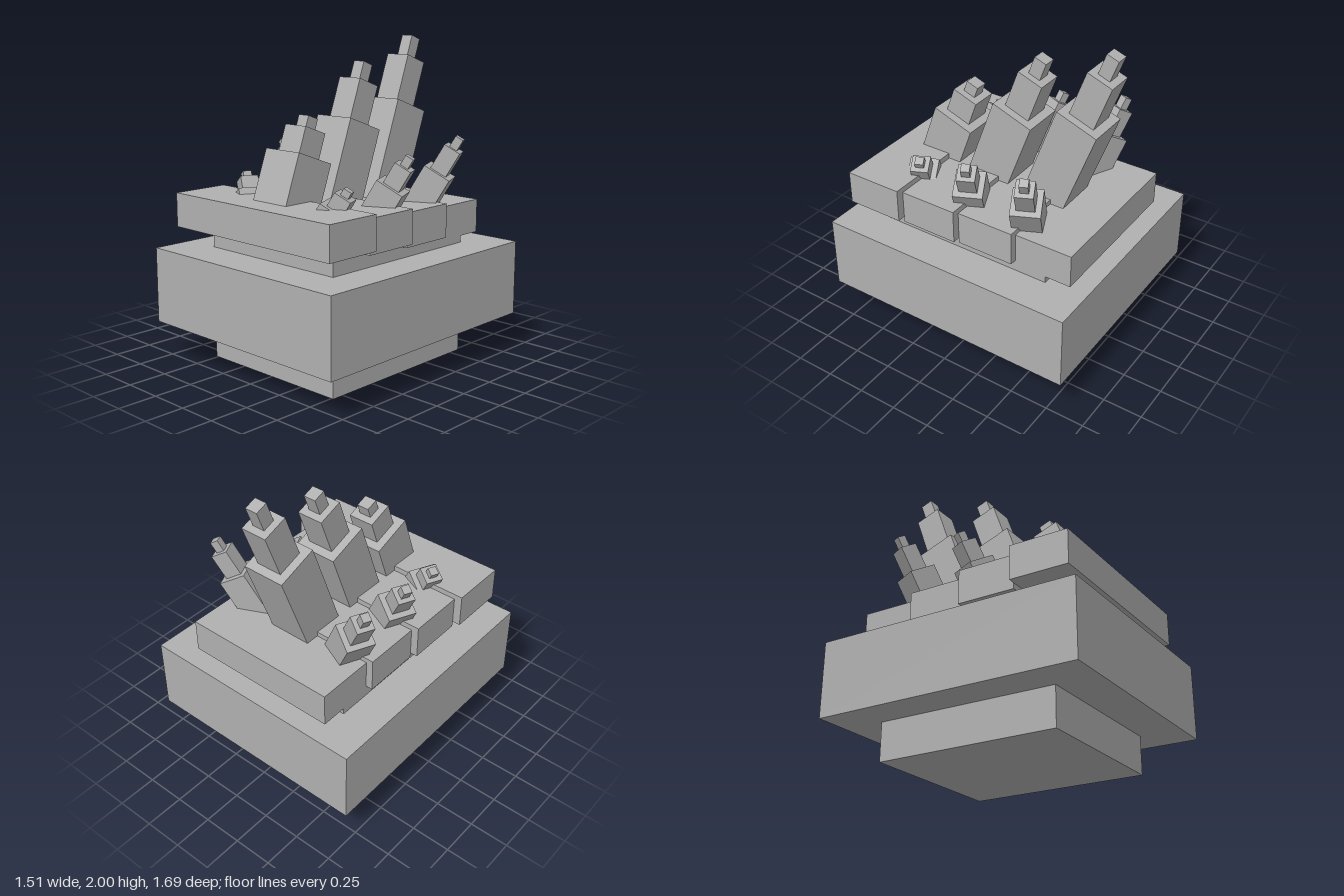
import * as THREE from 'three';

const rad = THREE.MathUtils.degToRad;

export function createModel() {
  const model = new THREE.Group();
  const grey = new THREE.MeshStandardMaterial({ color: 0xb0b0b0 });
  grey.name = 'grey';

  // Box given by its size, with its underside at height y
  const block = (parent, name, w, h, d, y, z = 0) => {
    const mesh = new THREE.Mesh(new THREE.BoxGeometry(w, h, d), grey);
    mesh.name = name;
    mesh.position.set(0, y + h / 2, z);
    parent.add(mesh);
  };

  // Three stacked, narrowing blocks on one leaning axis; the group sits at the top of the root block
  const spike = (name, [x, y, z], widths, lengths, lean, yaw) => {
    const group = new THREE.Group();
    group.name = name;
    group.position.set(x, y, z);
    group.rotation.set(-rad(lean), rad(yaw), 0, 'YXZ');
    const [root, middle, tip] = lengths;
    block(group, 'spikeRoot', widths[0], root, widths[0], -root);
    block(group, 'spikeMiddle', widths[1], middle, widths[1], 0);
    block(group, 'spikeTip', widths[2], tip, widths[2], middle);
    model.add(group);
  };

  // Body
  block(model, 'core', 1.03, 0.845, 1.16, 0);
  block(model, 'body', 1.51, 0.475, 1.69, 0.24);

  // Back plates, stepping down and narrowing to the rear
  const plates = [
    [1.31, 0.85, 0.565], [1.21, 0.817, 0.19], [1.12, 0.787, -0.187], [1.03, 0.757, -0.56],
  ];
  plates.forEach(([w, y, z], i) => block(model, 'backPlate' + (i + 1), w, 0.213, 0.373, y, z));

  // Central row of large spikes: height and depth of the root top, then the upper lengths
  const large = [
    [1.315, 0.34, 0.167, 0.074], [1.48, -0.093, 0.262, 0.12], [1.563, -0.53, 0.307, 0.143],
  ];
  large.forEach(([y, z, middle, tip], i) => {
    const root = (y - 0.92) / Math.cos(rad(20));
    spike('centreSpike' + (i + 1), [0, y, z], [0.28, 0.172, 0.082], [root, middle, tip], 20, 0);
  });

  // Mirrored rows of small spikes, leaning outward and back
  const small = [
    [0.38, 1.055, 0.4, 0.09, 0.042], [0.447, 1.145, -0.003, 0.14, 0.065], [0.468, 1.186, -0.418, 0.17, 0.075],
  ];
  for (const side of [1, -1]) {
    small.forEach(([x, y, z, middle, tip], i) => {
      const root = (y - 0.9) / Math.cos(rad(30));
      const name = (side > 0 ? 'leftSpike' : 'rightSpike') + (i + 1);
      spike(name, [side * x, y, z], [0.18, 0.11, 0.053], [root, middle, tip], 30, -65 * side);
    });
  }
  return model;
}
